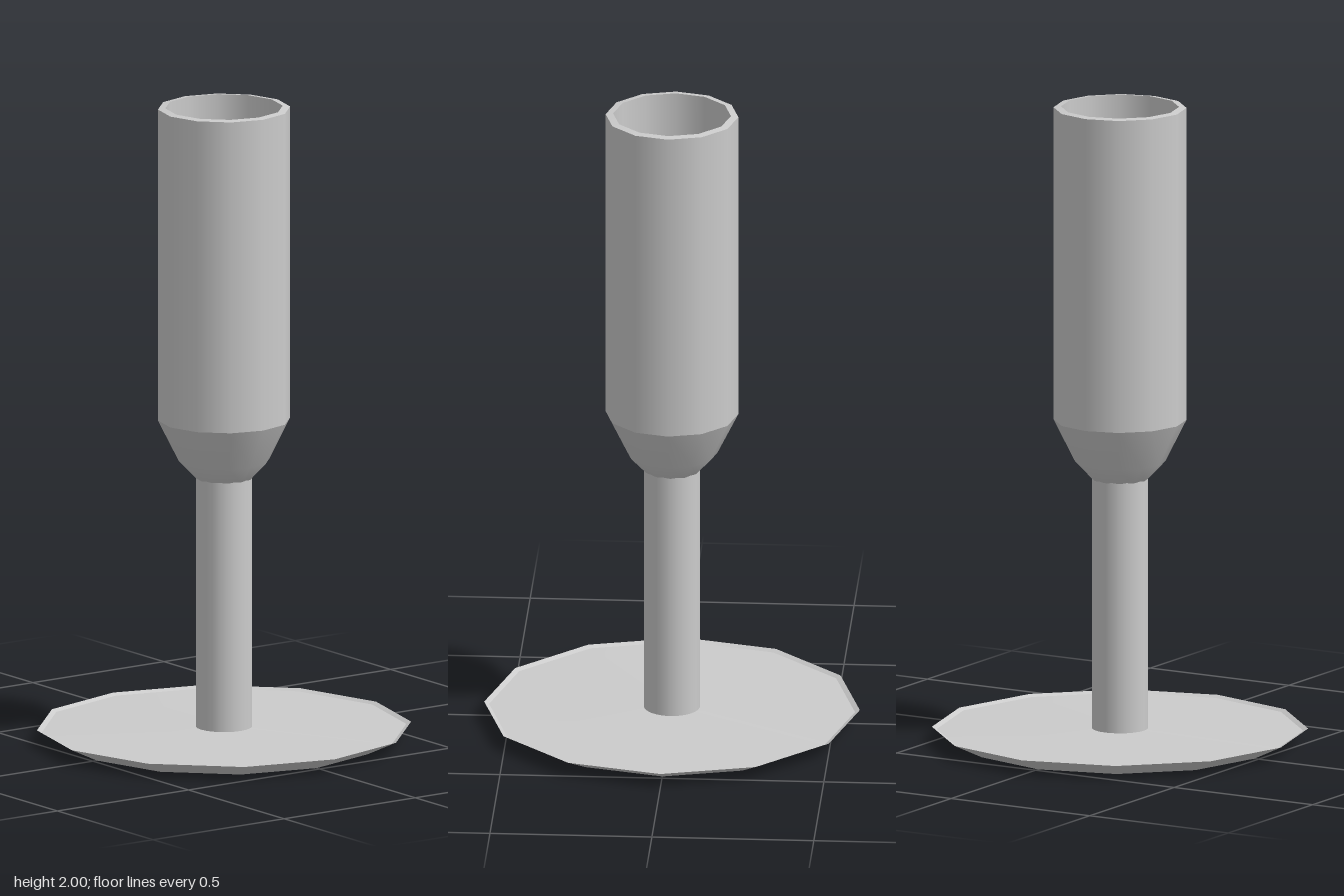
import * as THREE from 'three';
import { mergeGeometries } from 'three/addons/utils/BufferGeometryUtils.js';

const material = new THREE.MeshStandardMaterial({ color: 0xcccccc });
const openMaterial = new THREE.MeshStandardMaterial({ color: 0xcccccc, side: THREE.DoubleSide });

// Turned part: each run of [radius, y] points is smooth, with a sharp edge between runs
function turned(name, sides, runs, mat = material) {
  const parts = runs.map((run) =>
    new THREE.LatheGeometry(run.map(([r, y]) => new THREE.Vector2(r, y)), sides));
  const mesh = new THREE.Mesh(mergeGeometries(parts), mat);
  mesh.name = name;
  return mesh;
}

export function createModel() {
  const group = new THREE.Group();
  group.name = 'fluteGlass';

  // Thin faceted foot with a bevelled underside, raised lip and open centre
  group.add(turned('foot', 12, [
    [[0.085, 0], [0.485, 0]],
    [[0.485, 0], [0.58, 0.045]],
    [[0.58, 0.045], [0.565, 0.038]],
    [[0.565, 0.038], [0.08, 0.045]],
  ]));

  // Hollow stem, open at the bottom
  group.add(turned('stem', 24, [[[0.087, 0], [0.087, 0.84]]], openMaterial));

  // Bowl: rounded base, straight wall, rim, inner wall and flat floor
  group.add(turned('bowl', 12, [
    [[0, 0.83], [0.088, 0.83]],
    [[0.088, 0.83], [0.14, 0.885], [0.205, 1.015]],
    [[0.205, 1.015], [0.205, 1.997]],
    [[0.205, 1.997], [0.182, 2]],
    [[0.182, 2], [0.18, 1.02]],
    [[0.18, 1.02], [0, 1.02]],
  ]));

  return group;
}
